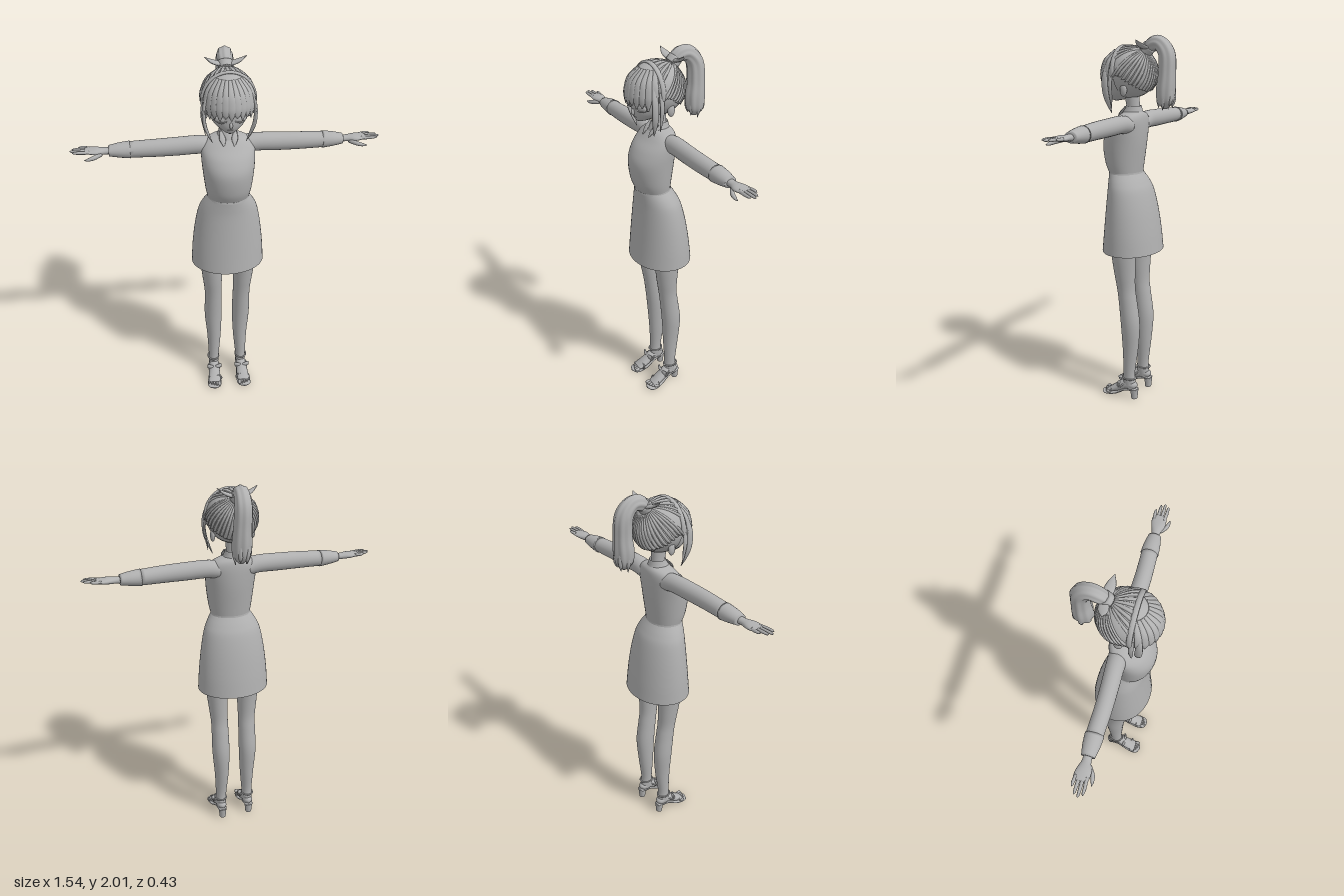
import * as THREE from 'three';

const X = new THREE.Vector3(1, 0, 0), Y = new THREE.Vector3(0, 1, 0), Z = new THREE.Vector3(0, 0, 1);

export function createModel() {
  const clay = new THREE.MeshStandardMaterial({ color: 0xb0b0b0, side: THREE.DoubleSide });
  clay.name = 'clay grey';
  const model = new THREE.Group();
  model.name = 'woman';

  const add = (name, geometry, parent = model) => {
    const mesh = new THREE.Mesh(geometry, clay);
    mesh.name = name;
    parent.add(mesh);
    return mesh;
  };

  // Smooth elliptical sweep. Section: [x, y, z, radius along side, other radius]
  function sweep(sections, { side = X, dir = null, n = 24, sub = 5, caps = true, ripple = 0, waves = 0 } = {}) {
    const path = new THREE.CatmullRomCurve3(sections.map(s => new THREE.Vector3(s[0], s[1], s[2])), false, 'catmullrom');
    const radii = new THREE.CatmullRomCurve3(sections.map(s => new THREE.Vector3(s[3], s[4] ?? s[3], 0)), false, 'catmullrom');
    const rows = (sections.length - 1) * sub, pos = [], idx = [];
    for (let i = 0; i <= rows; i++) {
      const p = path.getPoint(i / rows), r = radii.getPoint(i / rows);
      const t = dir || path.getTangent(i / rows);
      const nrm = t.clone().cross(side).normalize();
      for (let j = 0; j < n; j++) {
        const a = j / n * Math.PI * 2, k = 1 + ripple * Math.cos(waves * a);
        const v = p.clone().addScaledVector(side, Math.max(r.x, 0.0005) * k * Math.cos(a))
          .addScaledVector(nrm, Math.max(r.y, 0.0005) * k * Math.sin(a));
        pos.push(v.x, v.y, v.z);
      }
    }
    for (let i = 0; i < rows; i++) for (let j = 0; j < n; j++) {
      const a = i * n + j, b = i * n + (j + 1) % n;
      idx.push(a, b, a + n, b, b + n, a + n);
    }
    if (caps) for (let j = 1; j < n - 1; j++) {
      const e = rows * n;
      idx.push(0, j + 1, j, e, e + j, e + j + 1);
    }
    const g = new THREE.BufferGeometry();
    g.setAttribute('position', new THREE.Float32BufferAttribute(pos, 3));
    g.setIndex(idx);
    g.computeVertexNormals();
    return g;
  }
  // Level cross-sections: [y, half width, front z, back z, centre x]
  const stack = (rows, opts = {}) => sweep(
    rows.map(([y, w, f, b, x = 0]) => [x, y, (f + b) / 2, w, (f - b) / 2]), { dir: Y, n: 40, ...opts });
  const ball = (name, x, y, z, sx, sy, sz, parent) => {
    const m = add(name, new THREE.SphereGeometry(1, 18, 12), parent);
    m.position.set(x, y, z);
    m.scale.set(sx, sy, sz);
    return m;
  };

  // Clothes
  add('blouse', stack([[1.285, .104, .163, -.003], [1.35, .117, .19, -.012], [1.45, .129, .2, -.025],
    [1.52, .134, .172, -.03], [1.57, .13, .128, -.03], [1.602, .1, .1, -.025], [1.622, .045, .08, -.012]]));
  add('skirt', stack([[1.295, .107, .167, -.007], [1.25, .135, .166, -.036], [1.2, .155, .167, -.06],
    [1.1, .174, .175, -.085], [.98, .188, .186, -.105], [.87, .195, .197, -.118]].reverse(), { caps: false, n: 48 }));
  add('waistband', stack([[1.285, .109, .169, -.009], [1.302, .107, .167, -.007]], { caps: false }));
  add('neck', stack([[1.58, .036, .068, -.008], [1.64, .033, .073, .002], [1.72, .036, .09, .005]]));
  add('collar', stack([[1.595, .07, .1, -.024], [1.62, .05, .09, -.014], [1.65, .04, .075, -.006]], { caps: false }));
  for (const s of [-1, 1]) add('collarFlap', sweep([[s * .035, 1.645, .065, .006, .004], [s * .03, 1.615, .093, .016, .005],
    [s * .026, 1.585, .118, .002, .002]], { n: 10 }));

  // Head and face
  const head = new THREE.Group();
  head.name = 'head';
  model.add(head);
  add('face', stack([[1.672, .01, .156, .125], [1.684, .036, .17, .07], [1.715, .075, .181, .01], [1.76, .099, .184, -.04],
    [1.82, .108, .186, -.06], [1.88, .095, .16, -.05], [1.93, .045, .1, .0]]), head);
  ball('nose', 0, 1.725, .183, .008, .016, .012, head);
  ball('mouth', 0, 1.7, .174, .016, .003, .005, head);
  for (const s of [-1, 1]) {
    ball('eyelid', s * .047, 1.752, .164, .03, .018, .01, head).rotation.y = s * .35;
    add('lashes', sweep([[s * .018, 1.746, .181, .003], [s * .048, 1.736, .172, .004], [s * .078, 1.746, .148, .003]],
      { side: Y, n: 6 }), head);
    ball('ear', s * .105, 1.735, .035, .012, .032, .02, head);
  }

  // Hair: dome over the skull, back half, and strands pulled to the knot
  const centre = new THREE.Vector3(0, 1.82, .055), size = new THREE.Vector3(.128, .132, .148);
  const shell = (name, ...args) => {
    const m = add(name, new THREE.SphereGeometry(1, 40, 24, ...args), head);
    m.position.copy(centre);
    m.scale.copy(size);
  };
  shell('hairDome', 0, Math.PI * 2, 0, 1.82);
  shell('hairBack', Math.PI - .2, Math.PI + .4, 1.5, Math.PI - 1.5);
  const onHair = (d, k = 1) => d.clone().normalize().multiplyScalar(k).multiply(size).add(centre);
  const knot = new THREE.Vector3(0, .85, -.62).normalize();
  for (let i = 0; i < 24; i++) {
    const a = -.25 + (Math.PI + .5) * i / 23;
    const low = -.1 - .65 * Math.max(0, Math.sin(a));
    const start = new THREE.Vector3(Math.cos(a), low, -Math.sin(a) * .8).normalize();
    const pts = [0, .25, .5, .75, 1].map(t => {
      const p = onHair(start.clone().lerp(knot, t), .985);
      return [p.x, p.y, p.z, .011 - .006 * t, .011 - .006 * t];
    });
    add('backStrand', sweep(pts, { side: Math.abs(Math.cos(a)) > .6 ? Z : X, n: 6, sub: 4 }), head);
  }
  // Strands of the crown, in front of the knot
  for (let i = 0; i < 9; i++) {
    const a = (i - 4) / 4 * 1.1;
    const start = new THREE.Vector3(Math.sin(a), Math.cos(a), .3);
    const pts = [0, .33, .67, 1].map(t => {
      const p = onHair(start.clone().lerp(knot, t), .985);
      return [p.x, p.y, p.z, .013 - .007 * t, .008];
    });
    add('crownStrand', sweep(pts, { side: X, n: 6, sub: 4 }), head);
  }
  // Fringe: flat pointed locks fanned over the forehead
  for (let i = 0; i < 11; i++) {
    const a = (i - 5) / 5 * 1.05, sx = Math.sin(a), cz = Math.cos(a);
    const at = (y, k) => [sx * .128 * k, y, .055 + cz * .15 * k];
    const tip = 1.772 - (i % 2) * .012 - Math.abs(i - 5) * .002;
    add('fringeLock', sweep([[...at(1.93, .55), .008, .005], [...at(1.88, .9), .017, .007], [...at(1.825, 1.02), .02, .007],
      [...at(1.79, 1.03), .016, .006], [...at(tip, 1.01), .003, .002]],
      { side: new THREE.Vector3(cz, 0, -sx), n: 10 }), head);
  }
  add('hairband', sweep(Array.from({ length: 13 }, (_, i) => {
    const a = -.15 + (Math.PI + .3) * i / 12;
    return [Math.cos(a) * .127, 1.82 + Math.sin(a) * .131, .09, .013, .007];
  }), { side: Z, n: 10, sub: 3 }), head);
  for (const s of [-1, 1]) {
    add('sideLock', sweep([[s * .1, 1.87, .13, .008], [s * .122, 1.8, .135, .008, .017], [s * .12, 1.72, .132, .009, .018],
      [s * .102, 1.66, .125, .007, .012], [s * .082, 1.612, .118, .001]], { n: 10 }), head);
    add('templeLock', sweep([[s * .12, 1.84, .1, .006, .012], [s * .13, 1.76, .1, .006, .012],
      [s * .122, 1.7, .1, .005, .009], [s * .112, 1.64, .1, .001]], { n: 10 }), head);
    add('hairBow', sweep([[0, 1.94, -.045, .012, .01], [s * .035, 1.946, -.045, .024, .01],
      [s * .07, 1.96, -.04, .02, .008], [s * .102, 1.983, -.035, .001]], { side: Z, n: 12 }), head);
  }
  // Ponytail
  add('hairTie', sweep([[0, 1.925, -.035, .036], [0, 1.95, -.058, .036]], { n: 20 }), head);
  add('ponytail', sweep([[0, 1.925, -.035, .026], [0, 1.96, -.075, .036], [.005, 1.962, -.122, .038], [.01, 1.912, -.162, .043],
    [.015, 1.82, -.167, .045], [.016, 1.74, -.162, .05], [.018, 1.68, -.16, .042], [.02, 1.645, -.158, .012]],
    { n: 40, ripple: .05, waves: 8 }), head);
  for (let i = 0; i < 6; i++) {
    const a = i / 6 * Math.PI * 2, c = Math.cos(a), d = Math.sin(a);
    add('ponytailTip', sweep([[.016 + c * .034, 1.76, -.163 + d * .034, .012], [.016 + c * .037, 1.69, -.163 + d * .038, .012],
      [.018 + c * .03, 1.638 + (i % 3) * .01, -.16 + d * .035, .001]], { n: 8 }), head);
  }

  for (const s of [-1, 1]) {
    // Arms and hands
    const limb = (name, rows, n = 24) => add(name, sweep(rows.map(([x, ...r]) => [s * x, ...r]), { side: Z, n }));
    limb('sleeve', [[.07, 1.553, .033, .048, .045], [.14, 1.564, .033, .045, .046], [.25, 1.562, .036, .043, .046],
      [.36, 1.56, .037, .042, .044], [.485, 1.557, .033, .041, .04]]);
    limb('cuff', [[.478, 1.557, .033, .045, .043], [.53, 1.557, .033, .041, .036], [.582, 1.556, .033, .032, .026]]);
    limb('hand', [[.56, 1.556, .033, .02, .018], [.605, 1.557, .033, .022, .016], [.64, 1.559, .034, .034, .016],
      [.67, 1.561, .032, .037, .012], [.698, 1.563, .031, .034, .008]]);
    [[.73, .003], [.76, .022], [.77, .041], [.757, .06]].forEach(([tip, z]) =>
      limb('finger', [[.675, 1.562, .031 + (z - .031) * .85, .009], [(.685 + tip) / 2, 1.565, z, .008],
        [tip - .01, 1.566, z, .006], [tip, 1.566, z, .001]], 10));
    limb('thumb', [[.615, 1.55, .05, .011], [.65, 1.543, .073, .011], [.68, 1.537, .081, .008], [.702, 1.535, .083, .001]], 10);

    // Legs
    add('leg', stack([[.06, .026, .06, -.022, .082], [.1, .029, .058, -.016, .081], [.16, .031, .055, -.012, .08],
      [.3, .04, .06, -.03, .077], [.45, .049, .068, -.04, .08], [.58, .048, .08, -.024, .08], [.66, .048, .09, -.013, .081],
      [.75, .054, .104, -.014, .085], [.87, .06, .118, -.02, .09], [1.05, .066, .125, -.03, .088]]
      .map(r => [...r.slice(0, 4), s * r[4]]), { n: 28 }));

    // Feet and heeled sandals
    const shoe = (name, rows, n = 20) => add(name, sweep(rows.map(([x, ...r]) => [s * x, ...r]), { n }));
    shoe('foot', [[.082, .078, -.028, .008], [.082, .08, -.01, .025, .022], [.082, .078, .04, .028, .03],
      [.084, .05, .09, .033, .024], [.087, .03, .13, .036, .015], [.089, .022, .15, .034, .01]]);
    shoe('sole', [[.082, .058, -.03, .02, .006], [.082, .056, 0, .028, .008], [.082, .045, .045, .028, .008],
      [.085, .018, .095, .036, .008], [.088, .008, .14, .041, .007], [.09, .008, .172, .034, .007], [.09, .01, .187, .008, .004]]);
    for (let i = 0; i < 5; i++)
      ball('toe', s * (.061 + i * .015), .022, .163 - i * i * .0016, i ? .007 : .01, .009, .017);
    const heel = add('heel', new THREE.CylinderGeometry(.024, .018, .06, 16));
    heel.position.set(s * .082, .03, -.012);
    const strap = (name, y, z, rx, rz, tilt) => {
      const m = add(name, new THREE.TorusGeometry(1, .13, 8, 28));
      m.position.set(s * .083, y, z);
      m.scale.set(rx, rz, .035);
      m.rotation.x = Math.PI / 2 + tilt;
    };
    strap('ankleStrap', .122, .021, .032, .039, 0);
    strap('instepStrap', .068, .062, .034, .034, .75);
    strap('toeStrap', .03, .125, .038, .022, 1.3);
    ball('bowKnot', s * .083, .08, .078, .01, .01, .01);
    for (const k of [-1, 1]) add('shoeBow', sweep([[s * .083, .08, .078, .006], [s * .083 + k * .022, .083, .078, .013, .008],
      [s * .083 + k * .042, .083, .072, .015, .006]], { side: Y, n: 10 }));
  }
  return model;
}
